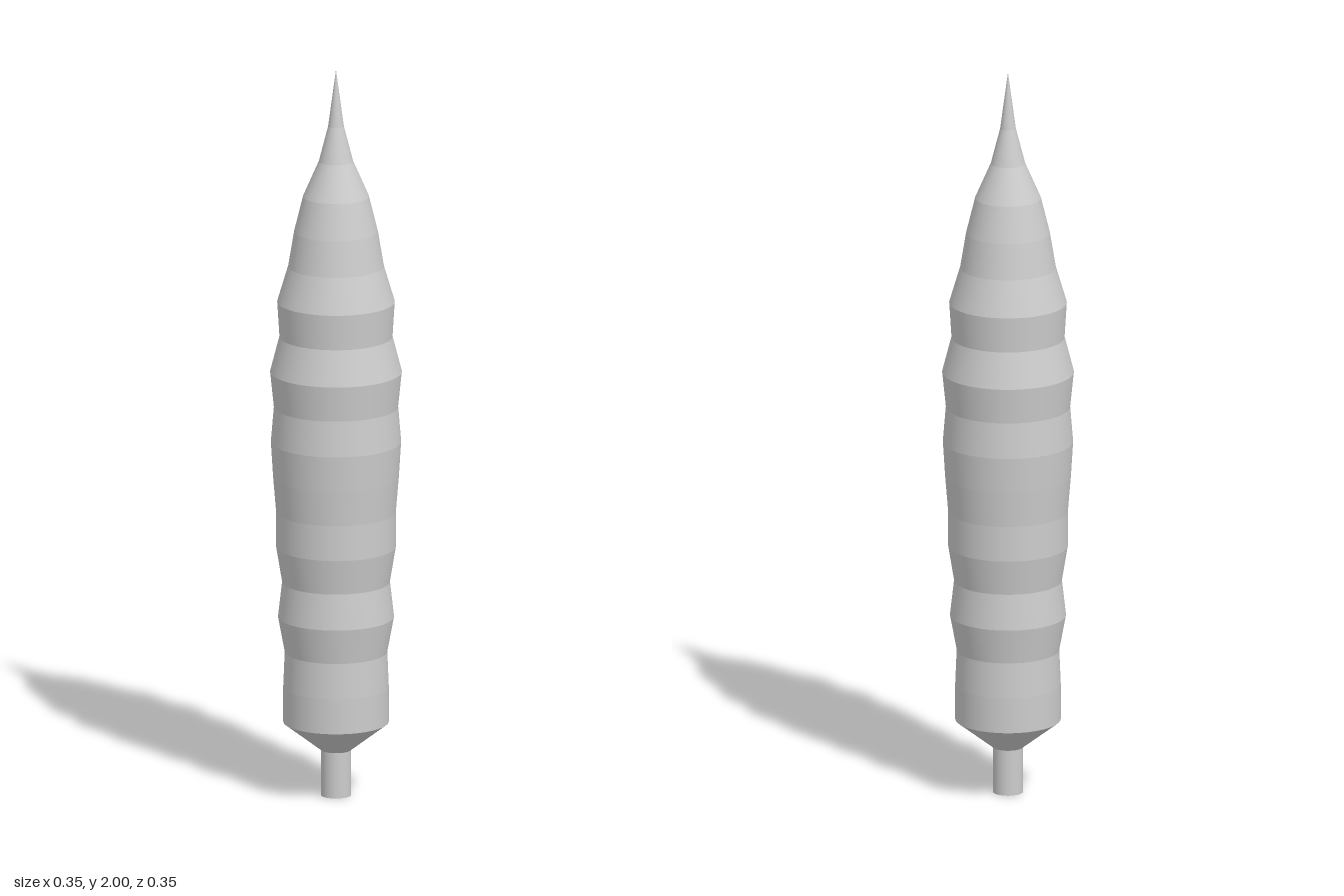
import * as THREE from 'three';

export function createModel() {
  const group = new THREE.Group();
  const grey = new THREE.MeshStandardMaterial({ color: 0xcccccc });
  grey.name = 'light grey';
  const SIDES = 64;

  // One straight band: smooth around, crisp where it meets the next band
  function band(name, y0, r0, y1, r1, open = true) {
    const mesh = new THREE.Mesh(new THREE.CylinderGeometry(r1, r0, y1 - y0, SIDES, 1, open), grey);
    mesh.position.y = (y0 + y1) / 2;
    mesh.name = name;
    group.add(mesh);
  }

  // Stem and flared base
  band('stem', 0, 0.04, 0.125, 0.04, false);
  band('baseCone', 0.125, 0.04, 0.203, 0.141);

  // Rippled body, evenly spaced rings from base to shoulder
  const bodyRadii = [0.141, 0.141, 0.137, 0.155, 0.144, 0.16, 0.16, 0.168, 0.174, 0.166, 0.176, 0.151, 0.157];
  const start = 0.203, step = 0.0965;
  for (let i = 0; i < bodyRadii.length - 1; i++) {
    band('bodyBand' + (i + 1), start + i * step, bodyRadii[i], start + (i + 1) * step, bodyRadii[i + 1]);
  }

  // Tapering tip, ending in a fine point
  const tip = [[1.361, 0.157], [1.458, 0.128], [1.554, 0.112], [1.651, 0.088], [1.747, 0.046], [1.844, 0.021], [2, 0]];
  for (let i = 0; i < tip.length - 1; i++) {
    band('tipBand' + (i + 1), ...tip[i], ...tip[i + 1]);
  }
  return group;
}
